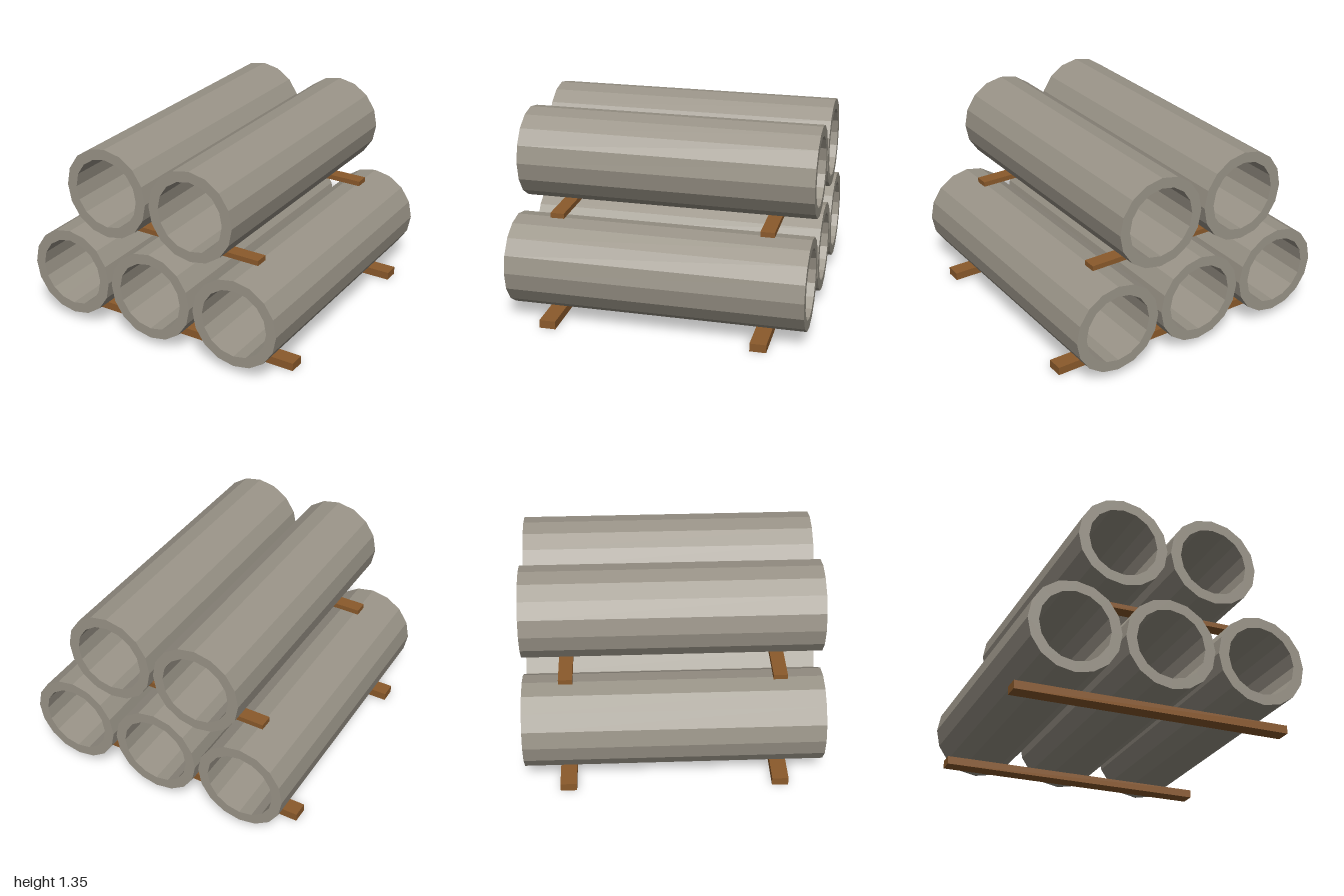
import * as THREE from 'three';

const SIDES = 16, OUTER = 0.31, INNER = 0.238, LENGTH = 2;

// Regular polygon with a corner at the top
function ring(radius) {
  return Array.from({ length: SIDES }, (_, i) => {
    const a = (i / SIDES) * Math.PI * 2;
    return new THREE.Vector2(Math.cos(a) * radius, Math.sin(a) * radius);
  });
}

export function createModel() {
  const group = new THREE.Group();
  group.name = 'pipeStack';

  const concrete = new THREE.MeshStandardMaterial({ color: 0x9a9488, flatShading: true });
  concrete.name = 'concrete';
  const wood = new THREE.MeshStandardMaterial({ color: 0x8b5a2b, flatShading: true });
  wood.name = 'wood';

  // Hollow faceted pipe running along z
  const section = new THREE.Shape(ring(OUTER));
  section.holes.push(new THREE.Path(ring(INNER).reverse()));
  const pipeGeometry = new THREE.ExtrudeGeometry(section, { depth: LENGTH, bevelEnabled: false });
  pipeGeometry.translate(0, 0, -LENGTH / 2);

  function addRow(name, y, xs) {
    xs.forEach((x, i) => {
      const pipe = new THREE.Mesh(pipeGeometry, concrete);
      pipe.name = `${name}${i + 1}`;
      pipe.position.set(x, y, 0);
      group.add(pipe);
    });
  }
  addRow('lowerPipe', 0.373, [-0.645, 0, 0.645]);
  addRow('upperPipe', 1.035, [-0.323, 0.323]);

  // Timber bearers under each row, one near each end
  function addBearers(name, width, bottom, top, depth) {
    const geometry = new THREE.BoxGeometry(width, top - bottom, depth);
    for (const side of [1, -1]) {
      const bearer = new THREE.Mesh(geometry, wood);
      bearer.name = name + (side > 0 ? 'Front' : 'Back');
      bearer.position.set(0, (bottom + top) / 2, side * 0.712);
      group.add(bearer);
    }
  }
  addBearers('lowerBearer', 1.9, 0, 0.056, 0.11);
  addBearers('upperBearer', 1.354, 0.687, 0.722, 0.094);

  return group;
}
